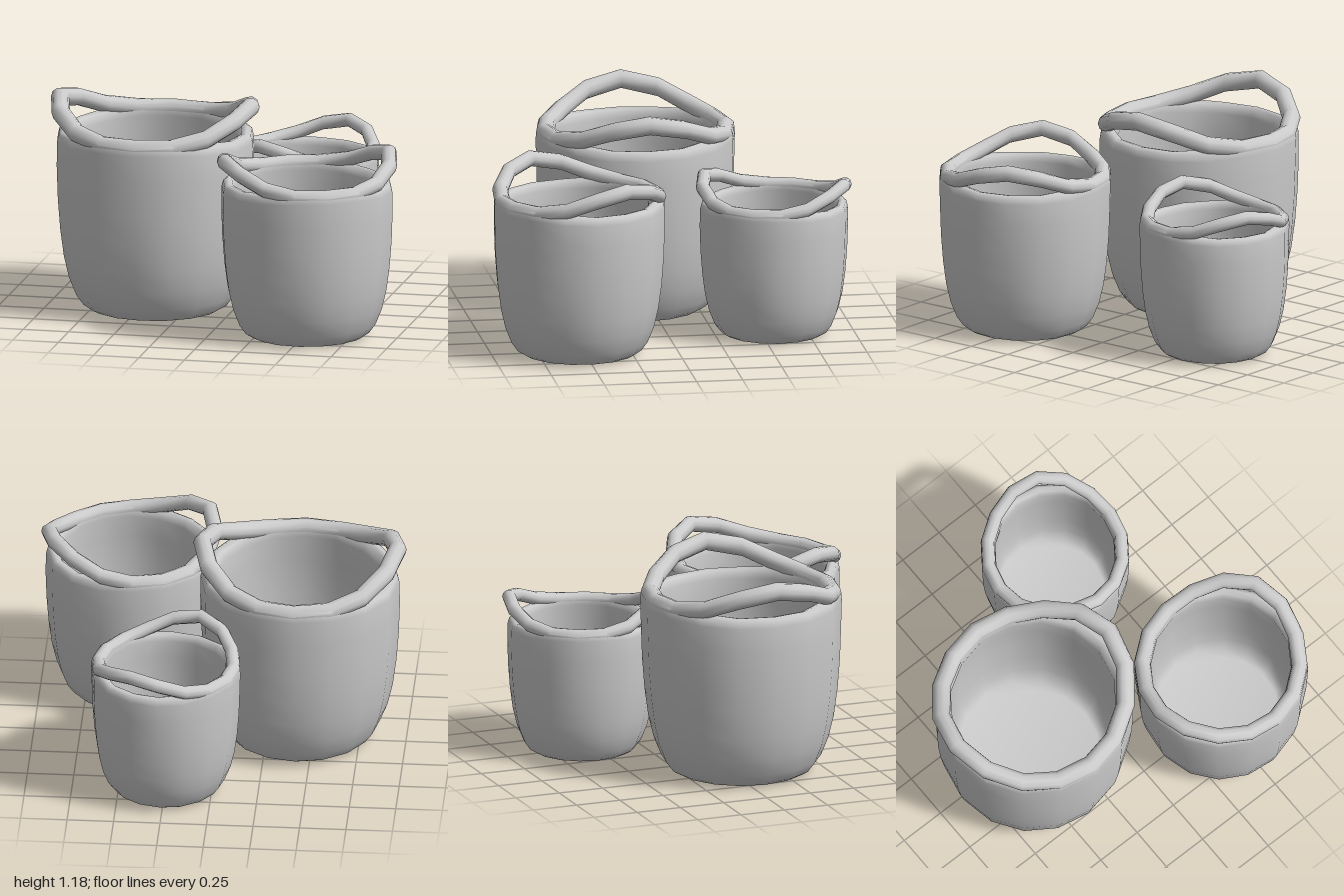
import * as THREE from 'three';
import { mergeVertices } from 'three/addons/utils/BufferGeometryUtils.js';

const material = new THREE.MeshStandardMaterial({ color: 0xcccccc });
const SIDES = 16;

// Wall cross-section [radius, height]: base and outer side, lip, inner side and floor
const OUTSIDE = [
  [0, 0], [0.31, 0], [0.355, 0.005], [0.39, 0.025], [0.43, 0.08], [0.47, 0.18], [0.498, 0.3],
  [0.518, 0.45], [0.531, 0.62], [0.537, 0.8],
];
const LOW_LIP = [[0.535, 0.93], [0.525, 0.968], [0.5, 0.982], [0.47, 0.975], [0.45, 0.93]];
const HIGH_LIP = [[0.541, 0.95], [0.534, 1.005], [0.49, 1.033], [0.446, 1.01], [0.434, 0.95]];
const INSIDE = [[0.452, 0.8], [0.452, 0.6], [0.448, 0.4], [0.437, 0.25], [0.41, 0.15], [0.36, 0.115], [0, 0.11]];

// Moves every vertex by rule(vertex, |cos| of its angle from the handle axis), then smooths
function reshape(geometry, rule) {
  geometry.deleteAttribute('uv');
  geometry.deleteAttribute('normal');
  const pos = geometry.attributes.position;
  const v = new THREE.Vector3();
  for (let i = 0; i < pos.count; i++) {
    v.fromBufferAttribute(pos, i);
    const r = Math.hypot(v.x, v.z);
    if (r > 1e-6) rule(v, Math.abs(v.x) / r, r, i);
    pos.setXYZ(i, v.x, v.y, v.z);
  }
  const merged = mergeVertices(geometry, 1e-5);
  merged.computeVertexNormals();
  return merged;
}

function setRadius(v, from, to) {
  v.x *= to / from;
  v.z *= to / from;
}

// Pot whose lip swells into the rim, except in the openings under the handles
function bodyGeometry() {
  const profile = [...OUTSIDE, ...LOW_LIP, ...INSIDE].map(([r, y]) => new THREE.Vector2(r, y));
  return reshape(new THREE.LatheGeometry(profile, SIDES), (v, c, r, i) => {
    const k = (i % profile.length) - OUTSIDE.length;
    if (k < 0 || k >= HIGH_LIP.length) return;
    const w = 1 - THREE.MathUtils.smoothstep(c, 0.45, 0.85);
    setRadius(v, r, THREE.MathUtils.lerp(r, HIGH_LIP[k][0], w));
    v.y = THREE.MathUtils.lerp(v.y, HIGH_LIP[k][1], w);
  });
}

// Ring that lifts and leans outward into a handle at both ends of x
function rimGeometry() {
  const ring = new THREE.TorusGeometry(0.488, 0.05, 10, SIDES).rotateX(-Math.PI / 2);
  return reshape(ring, (v, c, r) => {
    const lift = c ** 4;
    setRadius(v, r, r + 0.036 * lift);
    v.y += 0.98 + 0.15 * lift;
  });
}

function basket(name, x, z, scale, degrees) {
  const group = new THREE.Group();
  group.name = name;
  const body = new THREE.Mesh(bodyGeometry(), material);
  body.name = 'basketBody';
  const rim = new THREE.Mesh(rimGeometry(), material);
  rim.name = 'rimWithHandles';
  group.add(body, rim);
  group.position.set(x, 0, z);
  group.scale.setScalar(scale);
  group.rotation.y = THREE.MathUtils.degToRad(degrees);
  return group;
}

export function createModel() {
  const model = new THREE.Group();
  model.name = 'basketSet';
  model.add(
    basket('largeBasket', -0.425, 0.08, 1, 0),
    basket('mediumBasket', 0.51, 0.525, 0.865, 27),
    basket('smallBasket', 0.25, -0.57, 0.745, 65),
  );
  return model;
}
